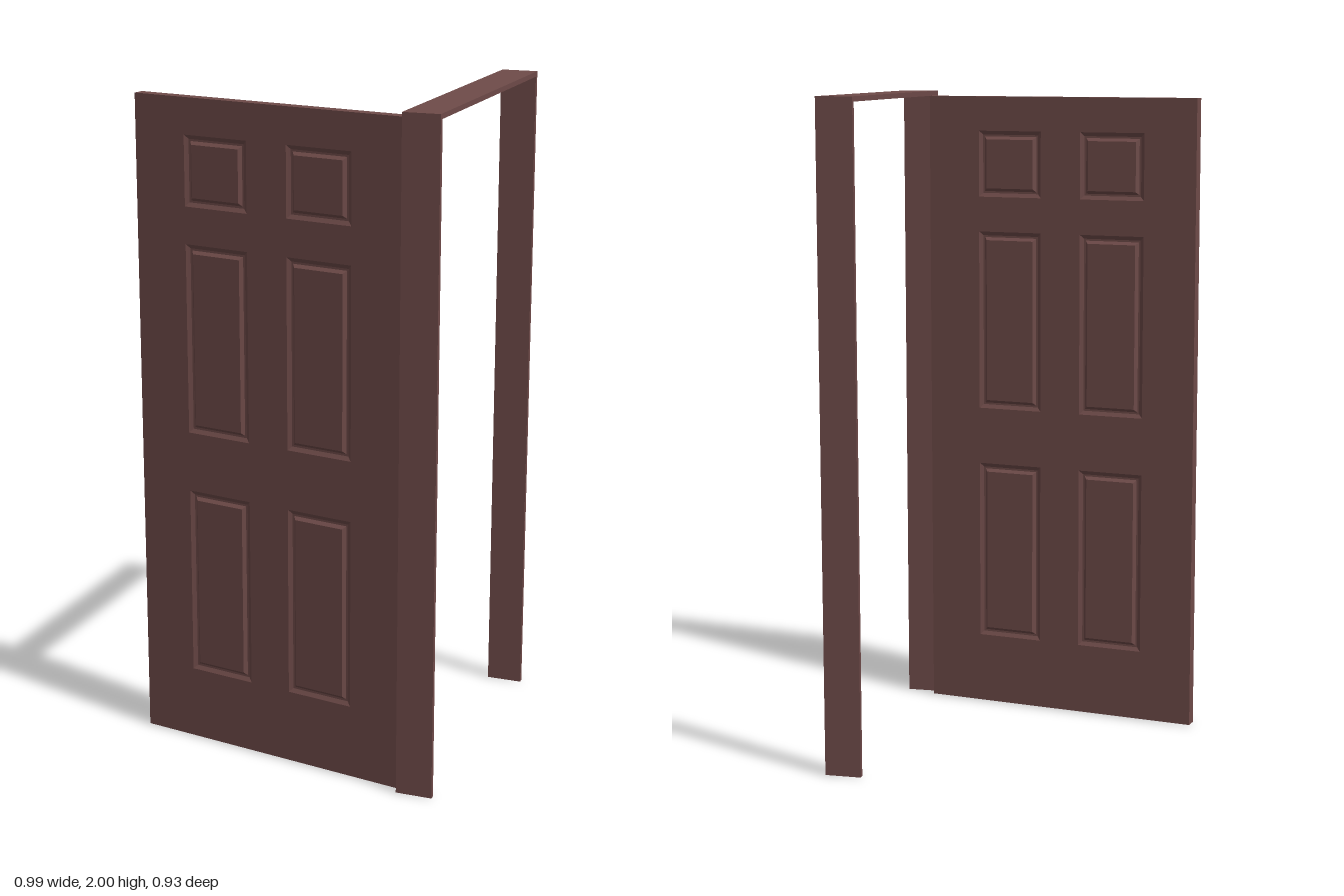
import * as THREE from 'three';

const wood = new THREE.MeshStandardMaterial({ color: 0x6f4b49 });
wood.name = 'reddish brown wood';

const DOOR_W = 0.9, DOOR_BOTTOM = 0.003, DOOR_TOP = 1.984, DOOR_T = 0.037;
const PANEL_W = 0.213;
const COLUMNS = [0.276, 0.622]; // panel centres across the door
const ROWS = [[0.226, 0.802], [0.984, 1.556], [1.667, 1.876]]; // bottom, top

function box(name, w, h, d, x, y, z) {
  const mesh = new THREE.Mesh(new THREE.BoxGeometry(w, h, d), wood);
  mesh.name = name;
  mesh.position.set(x, y, z);
  return mesh;
}

// Moulded panel: rectangular rings stepping into a groove and up to a raised field
function panelGeometry(w, h) {
  const profile = [[0, 0], [0.005, -0.003], [0.012, -0.007], [0.018, -0.007], [0.027, 0.002]]; // inset, depth
  const rings = profile.map(([inset, z]) => {
    const a = w / 2 - inset, b = h / 2 - inset;
    return [[-a, -b, z], [a, -b, z], [a, b, z], [-a, b, z]];
  });
  const pos = [];
  const quad = (a, b, c, d) => pos.push(...a, ...b, ...c, ...a, ...c, ...d);
  for (let r = 0; r < rings.length - 1; r++) {
    for (let i = 0; i < 4; i++) {
      const j = (i + 1) % 4;
      quad(rings[r][i], rings[r][j], rings[r + 1][j], rings[r + 1][i]);
    }
  }
  quad(...rings[rings.length - 1]);
  const geo = new THREE.BufferGeometry();
  geo.setAttribute('position', new THREE.Float32BufferAttribute(pos, 3));
  geo.computeVertexNormals();
  return geo;
}

function createDoor() {
  const door = new THREE.Group();
  door.name = 'door';

  // Slab with an opening for each panel
  const outline = new THREE.Shape();
  outline.moveTo(0, DOOR_BOTTOM).lineTo(DOOR_W, DOOR_BOTTOM).lineTo(DOOR_W, DOOR_TOP).lineTo(0, DOOR_TOP).closePath();
  for (const cx of COLUMNS) {
    for (const [y0, y1] of ROWS) {
      const x0 = cx - PANEL_W / 2, x1 = cx + PANEL_W / 2;
      const hole = new THREE.Path();
      hole.moveTo(x0, y0).lineTo(x0, y1).lineTo(x1, y1).lineTo(x1, y0).closePath();
      outline.holes.push(hole);
    }
  }
  const slabGeo = new THREE.ExtrudeGeometry(outline, { depth: DOOR_T, bevelEnabled: false });
  slabGeo.translate(0, 0, -DOOR_T);
  const slab = new THREE.Mesh(slabGeo, wood);
  slab.name = 'doorSlab';
  door.add(slab);

  // Panels on both faces
  for (const [y0, y1] of ROWS) {
    const geo = panelGeometry(PANEL_W, y1 - y0);
    for (const cx of COLUMNS) {
      const front = new THREE.Mesh(geo, wood);
      front.name = 'frontPanel';
      front.position.set(cx, (y0 + y1) / 2, 0);
      const back = new THREE.Mesh(geo, wood);
      back.name = 'backPanel';
      back.position.set(cx, (y0 + y1) / 2, -DOOR_T);
      back.rotation.y = Math.PI;
      door.add(front, back);
    }
  }

  // Swung open
  door.position.set(-0.495, 0, 0.289);
  door.rotation.y = -THREE.MathUtils.degToRad(10);
  return door;
}

export function createModel() {
  const model = new THREE.Group();
  model.name = 'openDoor';

  // Frame: two jambs and a header
  const frame = new THREE.Group();
  frame.name = 'doorFrame';
  const x = 0.44, w = 0.11, t = 0.015, half = 0.465;
  frame.add(
    box('hingeJamb', w, 2 - t, t, x, (2 - t) / 2, half - t / 2),
    box('latchJamb', w, 2 - t, t, x, (2 - t) / 2, -half + t / 2),
    box('header', w, t, half * 2, x, 2 - t / 2, 0)
  );

  model.add(frame, createDoor());
  return model;
}
